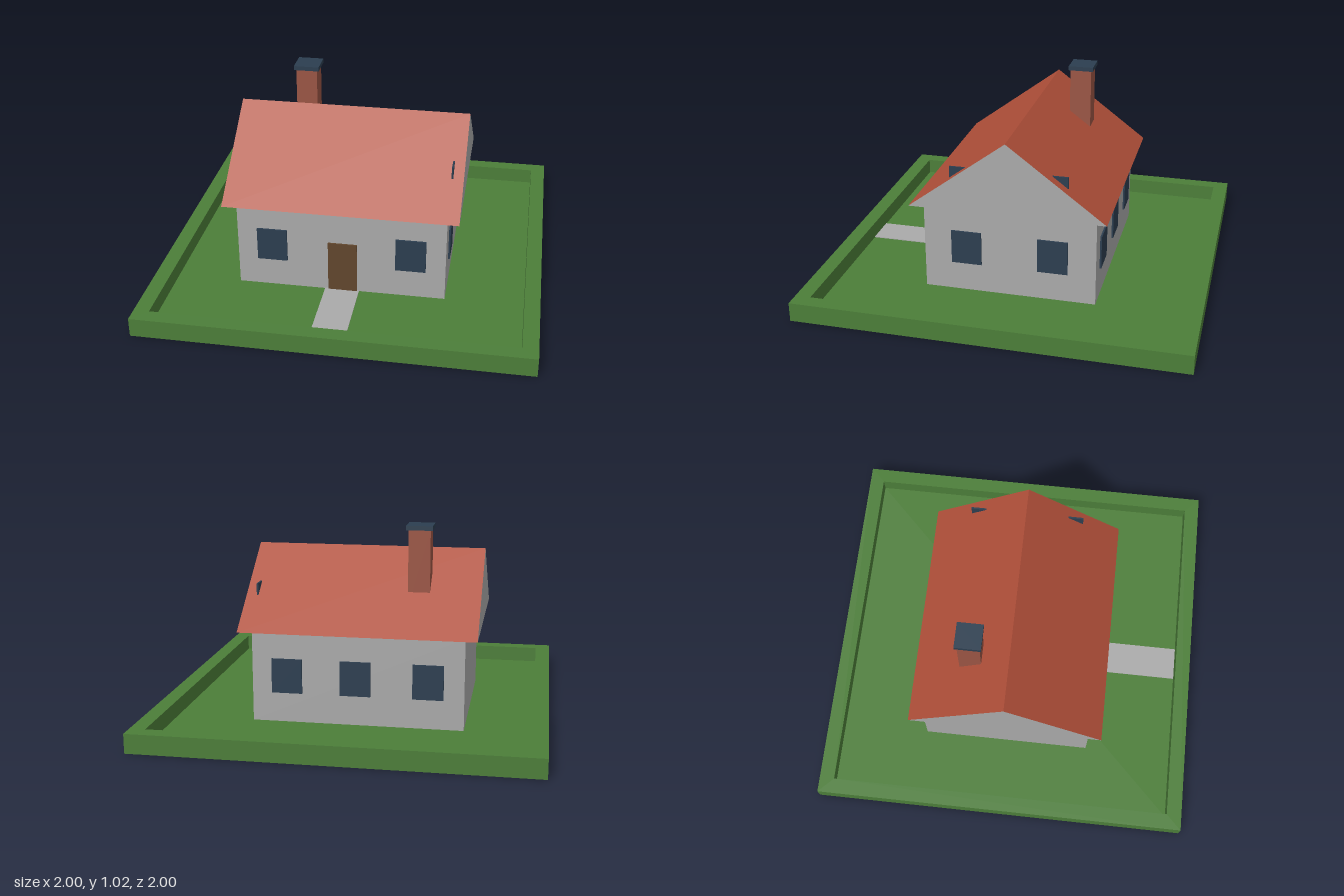
import * as THREE from 'three';

const mat = (name, color) => {
  const m = new THREE.MeshStandardMaterial({ color });
  m.name = name;
  return m;
};

export function createModel() {
  const grass = mat('grass green', 0x4c7e39);
  const grey = mat('plaster grey', 0xaaaaaa);
  const tile = mat('roof tile red', 0xae4e38);
  const brick = mat('chimney brick', 0x9b5544);
  const slate = mat('window blue', 0x2c3e50);
  const wood = mat('door brown', 0x61462d);

  const model = new THREE.Group();
  model.name = 'cottage';

  const add = (name, geometry, material) => {
    const mesh = new THREE.Mesh(geometry, material);
    mesh.name = name;
    model.add(mesh);
    return mesh;
  };
  // Box given by its lower and upper corners
  const box = (name, material, [x0, y0, z0], [x1, y1, z1]) => {
    const g = new THREE.BoxGeometry(x1 - x0, y1 - y0, z1 - z0);
    g.translate((x0 + x1) / 2, (y0 + y1) / 2, (z0 + z1) / 2);
    return add(name, g, material);
  };

  // Sunken lawn with a raised square border
  const floorY = 0.015;
  box('lawn', grass, [-1, 0, -1], [1, floorY, 1]);
  const square = (Type, r) => new Type([[-r, -r], [r, -r], [r, r], [-r, r]].map(p => new THREE.Vector2(...p)));
  const border = square(THREE.Shape, 1);
  border.holes.push(square(THREE.Path, 0.92));
  const rim = new THREE.ExtrudeGeometry(border, { depth: 0.1 - floorY, bevelEnabled: false });
  rim.rotateX(-Math.PI / 2).translate(0, floorY, 0);
  add('lawnBorder', rim, grass);

  // Garden path
  box('path', grey, [-0.12, floorY, 0.45], [0.06, floorY + 0.004, 0.92]);

  // Walls
  const cx = -0.035, wallX = 0.51, wallZ = 0.45, eave = 0.493;
  box('walls', grey, [2 * cx - wallX, floorY, -wallZ], [wallX, eave, wallZ]);

  // Gabled roof: red slopes, grey gable ends and underside
  const x0 = -0.643, x1 = 0.573, rz = 0.51, ridge = 0.874;
  const roof = new THREE.BufferGeometry();
  roof.setAttribute('position', new THREE.Float32BufferAttribute([
    x0, eave, rz, x0, ridge, 0, x0, eave, -rz,
    x1, eave, rz, x1, ridge, 0, x1, eave, -rz,
  ], 3));
  roof.setIndex([
    0, 3, 4, 0, 4, 1, 5, 2, 1, 5, 1, 4, // slopes
    3, 5, 4, 2, 0, 1, 0, 2, 5, 0, 5, 3, // gables and underside
  ]);
  roof.addGroup(0, 12, 0);
  roof.addGroup(12, 12, 1);
  const flatRoof = roof.toNonIndexed();
  flatRoof.computeVertexNormals();
  add('roof', flatRoof, [tile, grey]);

  // Chimney and cap
  box('chimney', brick, [-0.38, 0.6, -0.26], [-0.267, 1.0, -0.145]);
  box('chimneyCap', slate, [-0.391, 1.0, -0.271], [-0.256, 1.023, -0.137]);

  // Door
  box('door', wood, [-0.102, floorY, wallZ], [0.05, 0.297, wallZ + 0.009]);

  // Windows
  const half = 0.079, y0 = 0.17, h = 0.18, t = 0.009;
  for (const x of [-0.397, 0.329])
    box('frontWindow', slate, [x - half, y0, wallZ], [x + half, y0 + h, wallZ + t]);
  for (const x of [-0.397, -0.025, 0.329])
    box('backWindow', slate, [x - half, y0, -wallZ - t], [x + half, y0 + h, -wallZ]);
  for (const z of [-0.226, 0.226]) {
    box('sideWindow', slate, [wallX, y0, z - half], [wallX + t, y0 + h, z + half]);
    // Upper windows whose outer corners break through the roof
    box('atticWindow', slate, [wallX, 0.527, z - half], [wallX + t, 0.707, z + half]);
  }

  return model;
}
